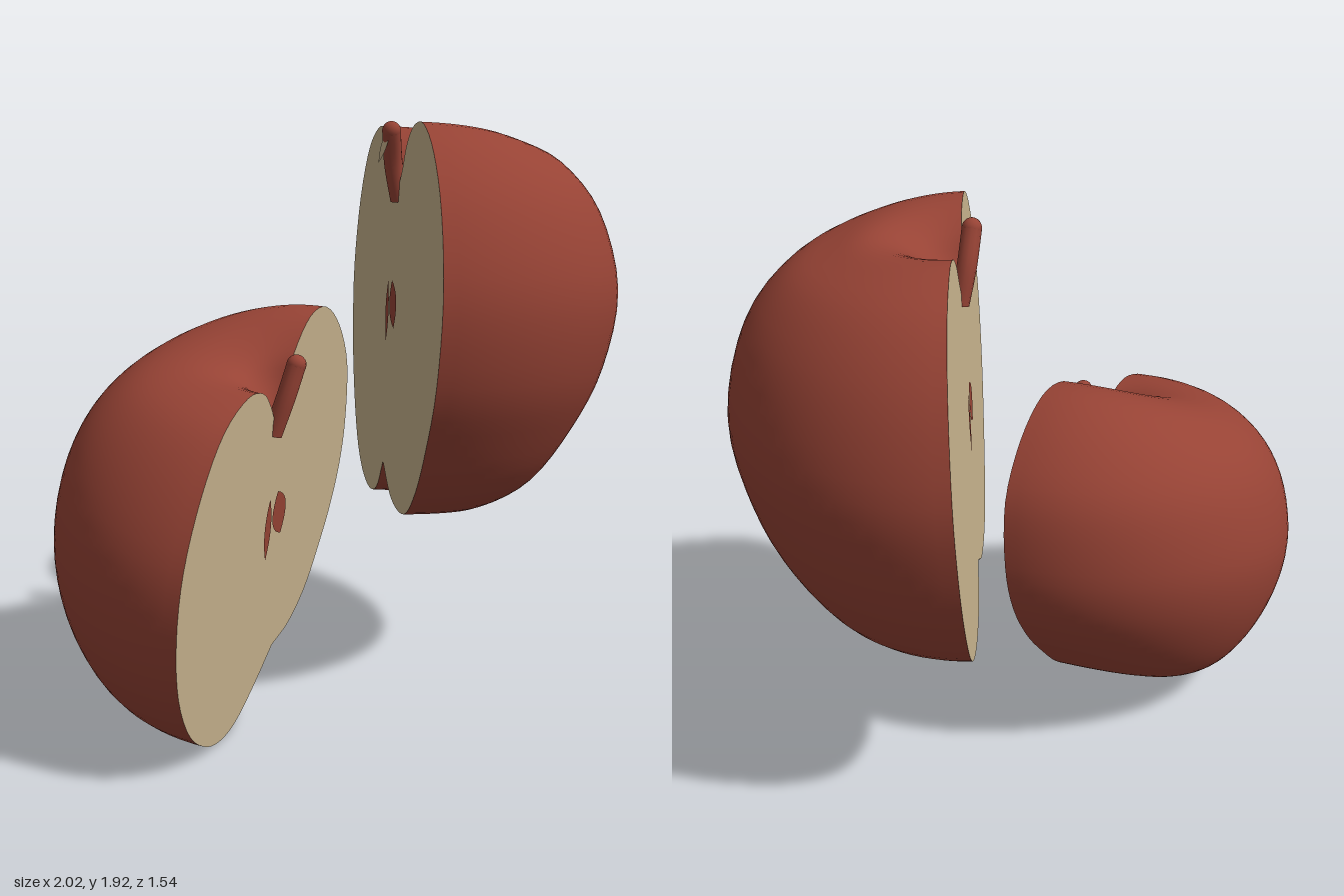
import * as THREE from 'three';
import { mergeVertices } from 'three/addons/utils/BufferGeometryUtils.js';

const skin = new THREE.MeshStandardMaterial({ color: 0x974335 });
skin.name = 'apple red';
const flesh = new THREE.MeshStandardMaterial({ color: 0xc8b48e });
flesh.name = 'cream flesh';

// Rows from stem dent to base dent: left x, left y, right x, right y, depth, back lift
const lowerHalfRows = [
  [-0.06, 0.35, -0.06, 0.35, 0, 0],
  [-0.12, 0.43, 0.0, 0.48, 0.06, 0],
  [-0.2, 0.49, 0.05, 0.58, 0.14, -0.01],
  [-0.33, 0.5, 0.18, 0.68, 0.29, -0.04],
  [-0.495, 0.43, 0.34, 0.69, 0.45, -0.05],
  [-0.625, 0.28, 0.51, 0.6, 0.58, -0.03],
  [-0.715, 0.08, 0.645, 0.44, 0.66, 0],
  [-0.73, -0.12, 0.69, 0.22, 0.69, 0],
  [-0.685, -0.32, 0.67, 0.05, 0.66, 0],
  [-0.575, -0.49, 0.6, -0.1, 0.58, -0.02],
  [-0.43, -0.59, 0.51, -0.22, 0.47, -0.05],
  [-0.3, -0.62, 0.42, -0.32, 0.35, -0.05],
  [-0.18, -0.6, 0.32, -0.39, 0.23, -0.02],
  [-0.04, -0.53, 0.22, -0.43, 0.1, 0],
  [0.09, -0.45, 0.09, -0.45, 0, 0],
];
const upperHalfRows = [
  [0, 0.42, 0, 0.42, 0, 0],
  [-0.07, 0.5, 0.07, 0.5, 0.07, 0],
  [-0.14, 0.58, 0.13, 0.59, 0.15, 0],
  [-0.25, 0.635, 0.23, 0.65, 0.27, -0.01],
  [-0.38, 0.64, 0.37, 0.655, 0.4, -0.04],
  [-0.56, 0.56, 0.53, 0.57, 0.55, -0.02],
  [-0.71, 0.37, 0.67, 0.4, 0.69, 0],
  [-0.795, 0.1, 0.75, 0.15, 0.77, 0],
  [-0.775, -0.15, 0.72, -0.12, 0.74, 0],
  [-0.7, -0.37, 0.62, -0.33, 0.66, 0],
  [-0.58, -0.56, 0.51, -0.49, 0.53, -0.03],
  [-0.44, -0.66, 0.38, -0.6, 0.38, -0.02],
  [-0.28, -0.69, 0.24, -0.63, 0.23, -0.03],
  [-0.14, -0.65, 0.1, -0.61, 0.1, 0],
  [-0.04, -0.53, -0.04, -0.53, 0, 0],
];

// Smooth the rows with a spline through each triple of columns
function refine(rows, steps) {
  const curve = (k) => new THREE.CatmullRomCurve3(
    rows.map((r) => new THREE.Vector3(r[k], r[k + 1], r[k + 2])), false, 'catmullrom', 0.5);
  const first = curve(0), second = curve(3);
  return Array.from({ length: steps + 1 }, (_, i) => {
    const p = first.getPoint(i / steps), q = second.getPoint(i / steps);
    return [p.x, p.y, p.z, q.x, Math.max(q.y, 0), q.z];
  });
}

// Half-elliptic rings sweep the rounded skin behind the cut
function skinGeometry(rows, segments) {
  const positions = [], index = [];
  rows.forEach(([lx, ly, rx, ry, depth, lift], i) => {
    for (let j = 0; j <= segments; j++) {
      const c = Math.cos((j / segments) * Math.PI), s = Math.sin((j / segments) * Math.PI);
      positions.push(
        (lx + rx) / 2 + ((rx - lx) / 2) * c,
        (ly + ry) / 2 + ((ry - ly) / 2) * c + lift * s * s,
        -depth * s);
      if (i < rows.length - 1 && j < segments) {
        const a = i * (segments + 1) + j, b = a + segments + 1;
        index.push(a, b, a + 1, b, b + 1, a + 1);
      }
    }
  });
  const geometry = new THREE.BufferGeometry();
  geometry.setAttribute('position', new THREE.Float32BufferAttribute(positions, 3));
  geometry.setIndex(index);
  const merged = mergeVertices(geometry, 1e-5);
  merged.computeVertexNormals();
  return merged;
}

function add(parent, name, geometry, material) {
  const mesh = new THREE.Mesh(geometry, material);
  mesh.name = name;
  parent.add(mesh);
  return mesh;
}

// Flat pointed oval
function pointedOval(width, height) {
  const s = new THREE.Shape();
  s.moveTo(0, -height / 2);
  s.quadraticCurveTo(width, 0, 0, height / 2);
  s.quadraticCurveTo(-width, 0, 0, -height / 2);
  return new THREE.ShapeGeometry(s, 10);
}

function halfApple(name, controlRows, stemLean) {
  const half = new THREE.Group();
  half.name = name;
  const rows = refine(controlRows, 56);
  add(half, 'skin', skinGeometry(rows, 48), skin);

  // Cut face follows the rim
  const rim = [
    ...rows.map((r) => new THREE.Vector2(r[0], r[1])),
    ...rows.slice(1, -1).reverse().map((r) => new THREE.Vector2(r[2], r[3])),
  ];
  add(half, 'cutFace', new THREE.ShapeGeometry(new THREE.Shape(rim)), flesh);

  // Core pockets
  const narrow = add(half, 'narrowSeedPocket', pointedOval(0.055, 0.21), skin);
  narrow.position.set(-0.065, 0.01, 0.004);
  const wide = add(half, 'wideSeedPocket', pointedOval(0.12, 0.17), skin);
  wide.position.set(0.03, 0.045, 0.004);
  wide.rotation.z = 0.35;

  // Stem rising out of the dent, with a pale sliver where it was sliced
  const [x, y] = controlRows[0];
  const path = new THREE.CatmullRomCurve3([
    new THREE.Vector3(x, y - 0.02, -0.01),
    new THREE.Vector3(x + stemLean * 0.3, y + 0.1, 0.02),
    new THREE.Vector3(x + stemLean, y + 0.21, 0.04),
  ]);
  add(half, 'stem', new THREE.TubeGeometry(path, 12, 0.032, 12), skin);
  const tip = add(half, 'stemTip', new THREE.SphereGeometry(0.032, 16, 10), skin);
  tip.position.copy(path.getPoint(1));
  const sliver = add(half, 'stemCut', pointedOval(0.03, 0.13), flesh);
  sliver.position.copy(path.getPoint(0.8)).add(new THREE.Vector3(0.02, 0, 0.03));
  sliver.rotation.set(-0.15, 0.5, -stemLean * 4, 'YXZ');
  return half;
}

export function createModel() {
  const model = new THREE.Group();
  model.name = 'halvedApple';

  // Lower half, cut turned to the front and left
  const lower = halfApple('lowerHalf', lowerHalfRows, 0.025);
  lower.position.set(-0.3, 0.62, 0.22);
  lower.rotation.set(0.1, 0.85, 0, 'YXZ');
  model.add(lower);

  // Upper half, cut turned towards the lower half
  const upper = halfApple('upperHalf', upperHalfRows, 0.06);
  upper.position.set(0.224, 1.26, 0);
  upper.rotation.set(-0.035, -1.817, 0, 'YXZ');
  model.add(upper);
  return model;
}
